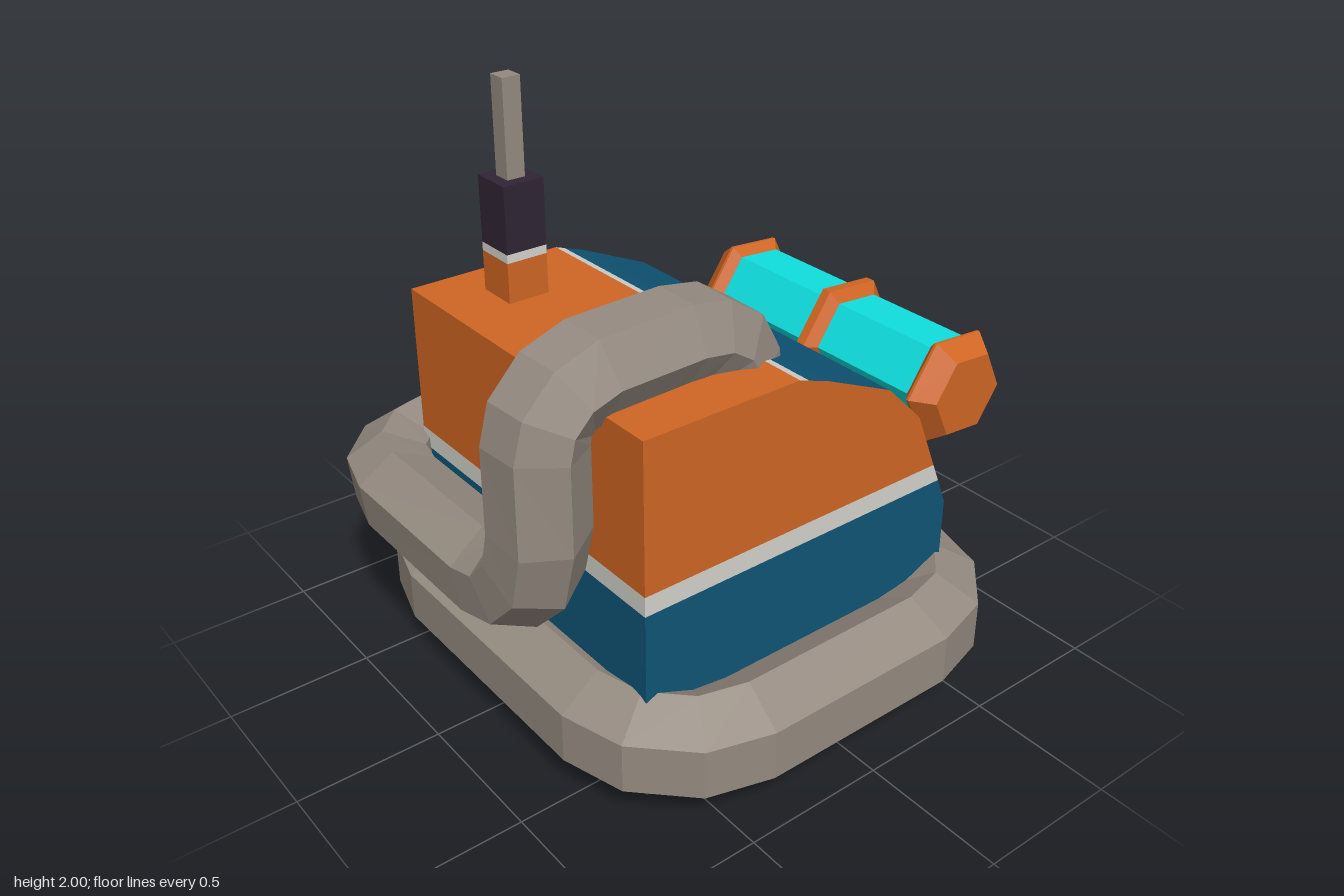
import * as THREE from 'three';

const mat = (name, color) => new THREE.MeshStandardMaterial({ name, color, flatShading: true, side: THREE.DoubleSide });

const V = (x, y, z) => new THREE.Vector3(x, y, z);

// Hexagonal tube through a list of points; the cross-section is carried along without twist
function sweep(pts, radius, normal, closed = false) {
  const n = pts.length, pos = [], index = [];
  const N = normal.clone();
  pts.forEach((p, i) => {
    const prev = closed ? pts[(i + n - 1) % n] : pts[Math.max(i - 1, 0)];
    const next = closed ? pts[(i + 1) % n] : pts[Math.min(i + 1, n - 1)];
    const t = p.clone().sub(prev).normalize().add(next.clone().sub(p).normalize()).normalize();
    N.addScaledVector(t, -N.dot(t)).normalize();
    const B = V(0, 0, 0).crossVectors(t, N);
    for (let k = 0; k < 6; k++) {
      const a = k * Math.PI / 3;
      const v = p.clone().addScaledVector(N, radius * Math.cos(a)).addScaledVector(B, radius * Math.sin(a));
      pos.push(v.x, v.y, v.z);
    }
  });
  for (let i = 0; i < (closed ? n : n - 1); i++) {
    for (let k = 0; k < 6; k++) {
      const a = i * 6 + k, b = i * 6 + (k + 1) % 6;
      const c = ((i + 1) % n) * 6 + k, d = ((i + 1) % n) * 6 + (k + 1) % 6;
      index.push(a, b, c, b, d, c);
    }
  }
  const g = new THREE.BufferGeometry();
  g.setAttribute('position', new THREE.Float32BufferAttribute(pos, 3));
  g.setIndex(index);
  g.computeVertexNormals();
  return g;
}

// Strip of wall panels following an x-y profile between two z planes
function ribbon(profile, z0, z1) {
  const pos = [];
  for (let i = 0; i < profile.length - 1; i++) {
    const [ax, ay] = profile[i], [bx, by] = profile[i + 1];
    pos.push(ax, ay, z1, ax, ay, z0, bx, by, z0, ax, ay, z1, bx, by, z0, bx, by, z1);
  }
  const g = new THREE.BufferGeometry();
  g.setAttribute('position', new THREE.Float32BufferAttribute(pos, 3));
  g.computeVertexNormals();
  return g;
}

export function createModel() {
  const root = new THREE.Group();
  root.name = 'model';
  const orange = mat('orange', 0xcf6523), blue = mat('deep blue', 0x0f5475), white = mat('off white', 0xd3d2cb);
  const grey = mat('warm grey', 0x948a80), dark = mat('dark plum', 0x2f2434), cyan = mat('cyan', 0x10dfdf);

  const add = (parent, name, geo, material) => {
    const m = new THREE.Mesh(geo, material);
    m.name = name;
    parent.add(m);
    return m;
  };

  // Hull shell, open underneath
  const body = new THREE.Group();
  body.name = 'body';
  root.add(body);
  const Z0 = -0.63, Z1 = 0.645, L = -0.63;
  const wall = (name, pts, m) => add(body, name, ribbon(pts, Z0, Z1), m);
  wall('lowerFrontWall', [[0.638, 0], [0.638, 0.58], [0.597, 0.68]], blue);
  wall('frontBand', [[0.597, 0.68], [0.567, 0.75]], white);
  wall('noseBand', [[0.567, 0.75], [0.48, 0.958]], orange);
  wall('hoodLowerTrim', [[0.48, 0.958], [0.468, 0.972]], white);
  wall('hood', [[0.468, 0.972], [0.33, 1.11], [0.06, 1.23], [-0.018, 1.257]], blue);
  wall('hoodUpperTrim', [[-0.018, 1.257], [-0.055, 1.27]], white);
  wall('roofAndRearWall', [[-0.055, 1.27], [L, 1.27], [L, 0.75]], orange);
  wall('rearBand', [[L, 0.75], [L, 0.68]], white);
  wall('lowerRearWall', [[L, 0.68], [L, 0]], blue);

  // Side panels in three colour levels
  const panels = [
    ['lowerSide', blue, [[L, 0], [0.638, 0], [0.638, 0.58], [0.597, 0.68], [L, 0.68]]],
    ['sideBand', white, [[L, 0.68], [0.597, 0.68], [0.567, 0.75], [L, 0.75]]],
    ['upperSide', orange, [[L, 0.75], [0.567, 0.75], [0.48, 0.958], [0.468, 0.972], [0.33, 1.11],
      [0.06, 1.23], [-0.018, 1.257], [-0.055, 1.27], [L, 1.27]]],
  ];
  for (const [name, m, pts] of panels) {
    const shape = new THREE.Shape(pts.map(p => new THREE.Vector2(...p)));
    add(body, name, new THREE.ShapeGeometry(shape), m).position.z = Z1;
    const far = add(body, name, new THREE.ShapeGeometry(shape).scale(-1, 1, 1), m);
    far.rotation.y = Math.PI;
    far.position.z = Z0;
  }

  // Bumper ring around the base
  const ring = [], r = 0.33;
  [[0.365, 0.445], [-0.335, 0.445], [-0.335, -0.445], [0.365, -0.445]].forEach(([cx, cz], q) => {
    for (let s = 0; s <= 3; s++) {
      const a = (q + s / 3) * Math.PI / 2;
      ring.push(V(cx + r * Math.cos(a), 0.205, cz + r * Math.sin(a)));
    }
  });
  add(root, 'bumperRing', sweep(ring, 0.176, V(0, 1, 0), true), grey);

  // Hose: out of the hood, over the roof, down the rear and round the far side
  const hose = [
    [-0.065, 1.14, 0.352], [-0.075, 1.22, 0.353], [-0.12, 1.305, 0.355], [-0.2, 1.357, 0.358], [-0.31, 1.376, 0.363],
    [-0.62, 1.376, 0.375], [-0.725, 1.345, 0.38], [-0.79, 1.28, 0.383], [-0.81, 1.2, 0.385],
    [-0.81, 0.92, 0.385], [-0.81, 0.77, 0.345], [-0.81, 0.665, 0.24], [-0.81, 0.628, 0.1],
    [-0.81, 0.628, -0.48], [-0.775, 0.628, -0.62], [-0.675, 0.628, -0.725], [-0.53, 0.628, -0.765],
    [0.13, 0.628, -0.765], [0.27, 0.628, -0.728], [0.375, 0.628, -0.635], [0.42, 0.628, -0.5],
  ].map(p => V(...p));
  add(root, 'hose', sweep(hose, 0.157, V(0, 0, 1)), grey);

  // Antenna stack
  const antenna = new THREE.Group();
  antenna.name = 'antenna';
  antenna.position.set(-0.363, 0, -0.402);
  root.add(antenna);
  [['antennaBase', 0.15, 1.26, 1.41, orange], ['antennaCollar', 0.15, 1.41, 1.44, white],
    ['antennaSocket', 0.15, 1.44, 1.67, dark], ['antennaMast', 0.066, 1.67, 2, grey]].forEach(([name, w, y0, y1, m]) => {
    add(antenna, name, new THREE.BoxGeometry(w, y1 - y0, w), m).position.y = (y0 + y1) / 2;
  });

  // Hexagonal lamp across the nose
  const lamp = new THREE.Group();
  lamp.name = 'lamp';
  lamp.position.set(0.725, 0.955, 0.035);
  root.add(lamp);
  const hex = (name, pts, m) => add(lamp, name,
    new THREE.LatheGeometry(pts.map(p => new THREE.Vector2(...p)), 6, 1.5).rotateX(Math.PI / 2), m);
  hex('lampTube', [[0.17, -0.53], [0.17, 0.53]], cyan);
  hex('lampMiddleRing', [[0.17, -0.047], [0.215, -0.018], [0.215, 0.018], [0.17, 0.047]], orange);
  hex('lampEndFront', [[0.165, 0.475], [0.207, 0.51], [0.207, 0.52], [0.15, 0.592], [0, 0.592]], orange);
  hex('lampEndBack', [[0, -0.592], [0.15, -0.592], [0.207, -0.52], [0.207, -0.51], [0.165, -0.475]], orange);

  return root;
}
